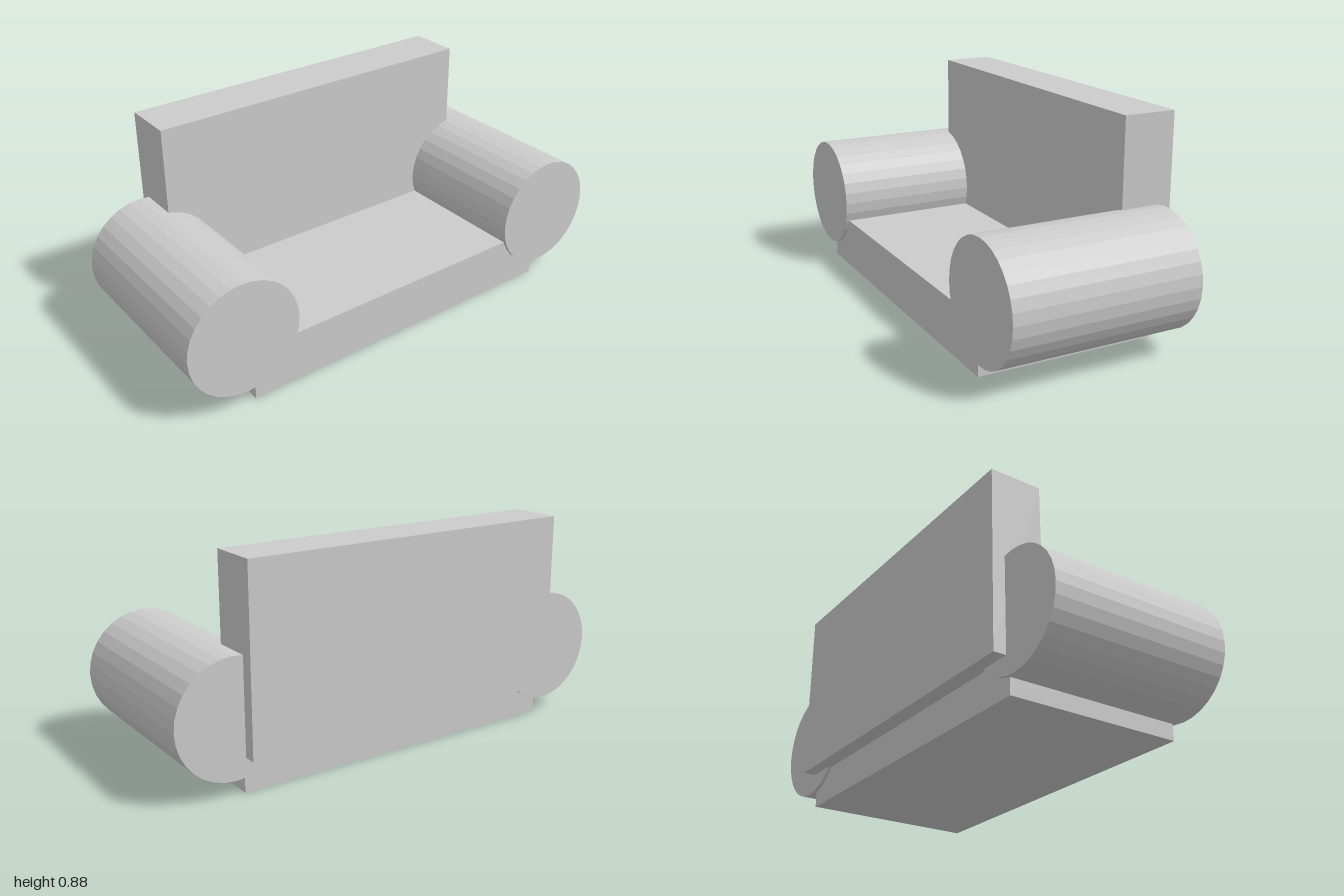
import * as THREE from 'three';

export function createModel() {
  const group = new THREE.Group();
  group.name = 'sofa';
  const material = new THREE.MeshStandardMaterial({ color: 0xcccccc, flatShading: true });

  const add = (name, geometry, x, y, z) => {
    const mesh = new THREE.Mesh(geometry, material);
    mesh.name = name;
    mesh.position.set(x, y, z);
    group.add(mesh);
  };

  // Box given by its x and y limits, centred on z
  const addBox = (name, x0, x1, y0, y1, depth) =>
    add(name, new THREE.BoxGeometry(x1 - x0, y1 - y0, depth), (x0 + x1) / 2, (y0 + y1) / 2, 0);

  // Seat faces +x, backrest stands along its -x edge
  addBox('seat', -0.345, 0.394, 0, 0.215, 1.45);
  addBox('backrest', -0.411, -0.196, 0.143, 0.88, 1.45);

  // Round bolster arms, lying along x at both ends
  const arm = new THREE.CylinderGeometry(0.235, 0.235, 0.768, 32).rotateZ(Math.PI / 2);
  for (const [name, side] of [['frontArm', 1], ['backArm', -1]]) {
    add(name, arm, 0.025, 0.298, side * 0.765);
  }
  return group;
}
